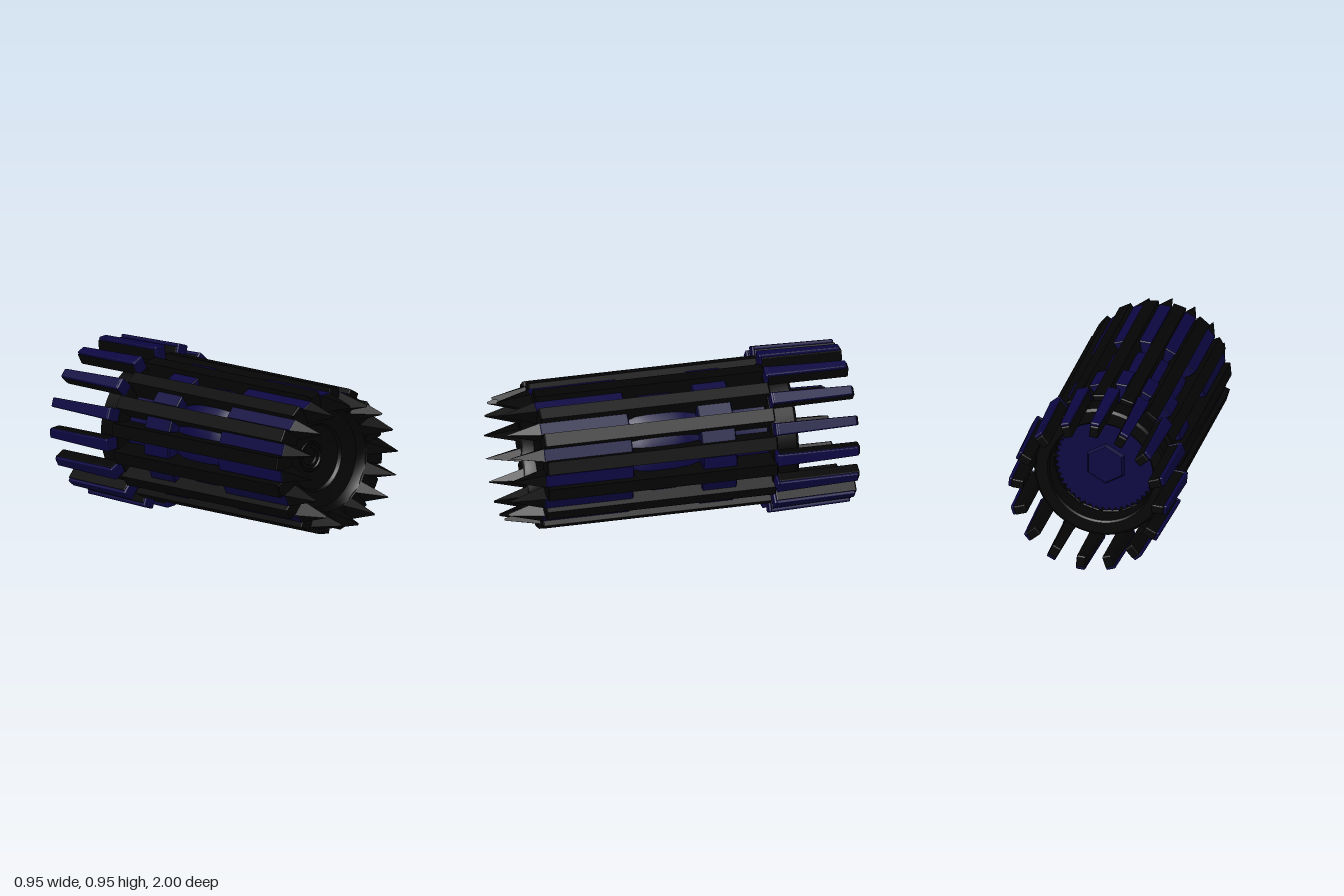
import * as THREE from 'three';
import { RoundedBoxGeometry } from 'three/addons/geometries/RoundedBoxGeometry.js';
import { toCreasedNormals } from 'three/addons/utils/BufferGeometryUtils.js';

const COUNT = 16, STEP = Math.PI * 2 / COUNT;
const TURN = THREE.MathUtils.degToRad(5.4);
const black = new THREE.MeshStandardMaterial({ color: 0x040404 });
const blue = new THREE.MeshStandardMaterial({ color: 0x0b0640 });

// Bar along z whose section is a trapezoid standing on radius r0, up to r1
function bar(r0, r1, w0, w1, z0, z1) {
  const b = 0.006;
  const s = new THREE.Shape([
    new THREE.Vector2(-w0 / 2 + b, r0 + b), new THREE.Vector2(w0 / 2 - b, r0 + b),
    new THREE.Vector2(w1 / 2 - b, r1 - b), new THREE.Vector2(-w1 / 2 + b, r1 - b),
  ]);
  const g = new THREE.ExtrudeGeometry(s, {
    depth: z1 - z0 - 2 * b, bevelSize: b, bevelThickness: b, bevelSegments: 1,
  });
  return g.translate(0, 0, z0 + b);
}

// Four-sided spike between z0 and z1, closing on a tip at radius rt
function spike(r0, r1, w, rt, z0, z1) {
  const g = new THREE.BoxGeometry(w, r1 - r0, z1 - z0).translate(0, (r0 + r1) / 2, (z0 + z1) / 2);
  const p = g.attributes.position;
  for (let i = 0; i < p.count; i++) {
    if (p.getZ(i) > (z0 + z1) / 2) p.setXYZ(i, p.getX(i) * 0.04, rt + (p.getY(i) - rt) * 0.12, z1);
  }
  g.computeVertexNormals();
  return g;
}

// Rounded finger section; all sections share one taper towards z = -1
function finger(r0, r1, w, z0, z1) {
  const g = new RoundedBoxGeometry(w, r1 - r0, z1 - z0, 2, 0.009).translate(0, (r0 + r1) / 2, (z0 + z1) / 2);
  const p = g.attributes.position;
  for (let i = 0; i < p.count; i++) {
    const t = (-0.515 - p.getZ(i)) / 0.485;
    p.setXY(i, p.getX(i) * (1 - 0.25 * t), p.getY(i) - 0.012 * t);
  }
  g.computeVertexNormals();
  return g;
}

// Surface of revolution around z from [radius, z] points
function turned(points) {
  const g = new THREE.LatheGeometry(points.map(([r, z]) => new THREE.Vector2(r, z)), 64);
  return toCreasedNormals(g.rotateX(Math.PI / 2), 0.5);
}

export function createModel() {
  const model = new THREE.Group();
  const axis = new THREE.Group();
  axis.name = 'barrel';
  axis.position.y = 0.473;
  model.add(axis);

  const add = (name, geometry, material, parent = axis) => {
    const m = new THREE.Mesh(geometry, material);
    m.name = name;
    parent.add(m);
    return m;
  };
  const ring = (name, geometry, material, offset) => {
    const group = new THREE.Group();
    group.name = name + 's';
    for (let i = 0; i < COUNT; i++) add(name, geometry, material, group).rotation.z = offset + i * STEP;
    axis.add(group);
  };

  // Blue core, swelling in the middle
  add('core', turned([
    [0.2, -0.5], [0.312, -0.5], [0.312, -0.12], [0.345, -0.03], [0.355, 0.05], [0.356, 0.18], [0.348, 0.25],
    [0.312, 0.32], [0.312, 0.78],
  ]), blue);

  // Dished front cap with steps and a central boss
  add('frontCap', turned([
    [0.335, 0.76], [0.335, 0.8], [0.295, 0.8], [0.285, 0.78], [0.28, 0.73], [0.195, 0.7], [0.185, 0.68],
    [0.09, 0.65], [0.085, 0.655], [0.075, 0.655], [0.07, 0.645], [0.053, 0.645], [0.05, 0.63], [0, 0.63],
  ]), black);

  // Long ribs and the parts set in the grooves between them
  ring('rib', bar(0.29, 0.42, 0.1, 0.076, -0.53, 0.805), black, -TURN);
  ring('frontInsert', bar(0.3, 0.392, 0.068, 0.068, 0.3, 0.815), blue, TURN);
  ring('rearInsert', bar(0.3, 0.392, 0.068, 0.068, -0.3, -0.1), blue, TURN);
  ring('spike', spike(0.29, 0.39, 0.075, 0.345, 0.805, 1), black, TURN);

  // Rear collar with a sunken floor
  add('rearCollar', turned([
    [0.2, -0.515], [0.3, -0.515], [0.3, -0.65], [0.31, -0.66], [0.375, -0.66], [0.39, -0.645], [0.39, -0.51], [0.3, -0.51],
  ]), black);

  // Black fingers with a blue strip outside and a blue block in front
  ring('finger', finger(0.384, 0.455, 0.07, -1, -0.53), black, TURN);
  ring('fingerStrip', finger(0.45, 0.473, 0.072, -0.99, -0.525), blue, TURN);
  ring('fingerBlock', finger(0.386, 0.473, 0.076, -0.535, -0.515), blue, TURN);

  // Toothed rear plate with a faceted hub
  const teeth = 48, outline = [];
  for (let i = 0; i < teeth * 2; i++) {
    const a = i * Math.PI / teeth, r = i % 2 ? 0.272 : 0.295;
    outline.push(new THREE.Vector2(Math.cos(a) * r, Math.sin(a) * r));
  }
  const plate = new THREE.ExtrudeGeometry(new THREE.Shape(outline), { depth: 0.03, bevelEnabled: false });
  add('rearPlate', plate.translate(0, 0, -0.53), blue);
  const hub = new THREE.CylinderGeometry(0.13, 0.11, 0.03, 6).toNonIndexed();
  hub.computeVertexNormals();
  add('rearHub', hub.rotateX(Math.PI / 2).translate(0, 0, -0.535), blue);

  return model;
}
